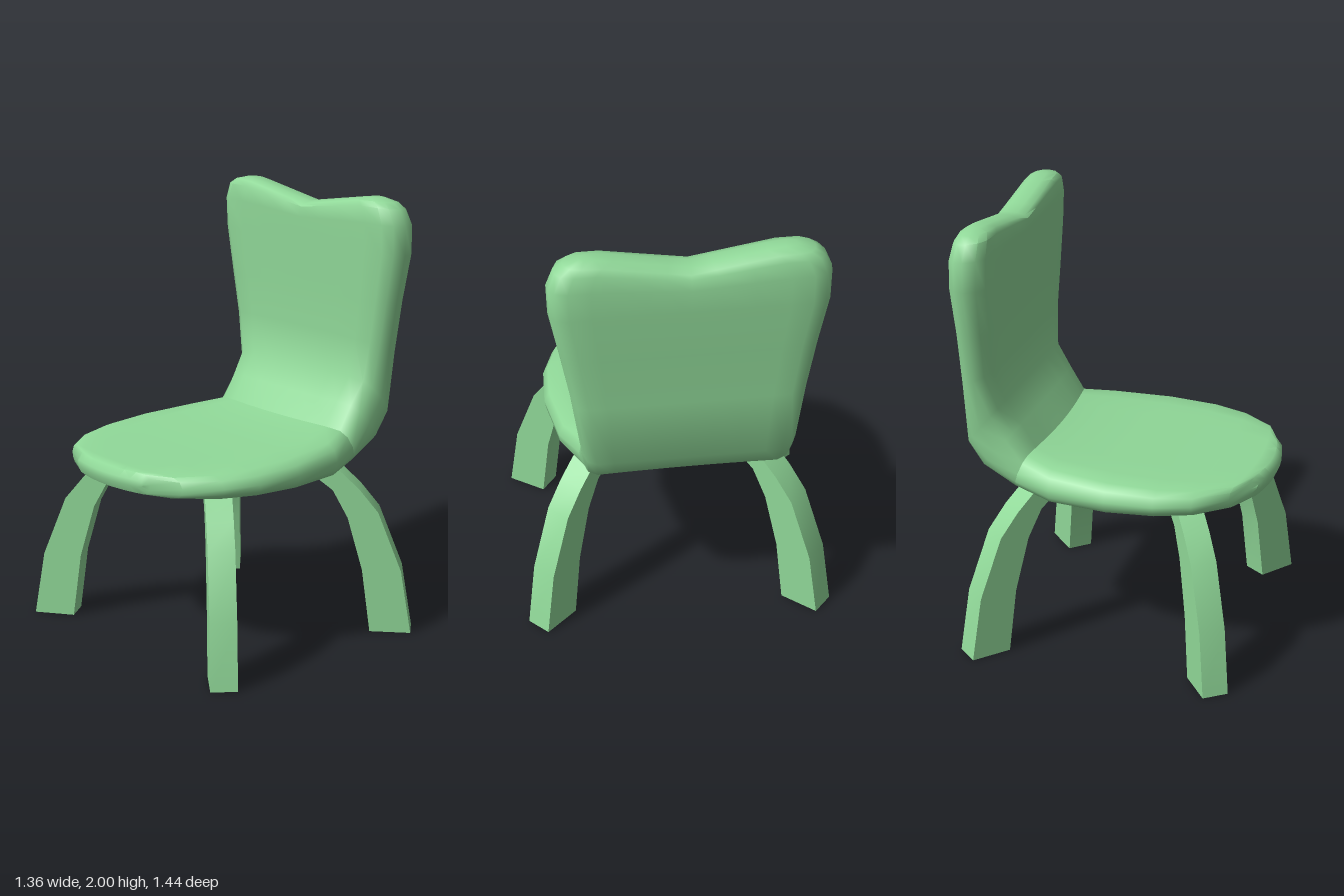
import * as THREE from 'three';
import { toCreasedNormals } from 'three/addons/utils/BufferGeometryUtils.js';

const material = new THREE.MeshStandardMaterial({ color: 0x90d898 });
const MID_Z = -0.022;

// Half of the cushion cross-section: [fraction of half width, depth from sitting face to underside]
const faceHalf = [[1, 0.5], [0.96, 0.2], [0.88, 0.04], [0.7, 0], [0.45, 0], [0.2, 0], [0, 0]];
const underHalf = [[0.99, 0.75], [0.95, 0.92], [0.86, 1], [0.7, 1], [0.45, 1], [0.2, 1], [0, 1]];

// Full closed ring: sitting face from -z to +z, then underside back again
function makeRing() {
  const flip = ([f, d]) => [-f, d];
  const face = [...faceHalf.map(flip), ...faceHalf.slice(0, -1).reverse()];
  const under = [...underHalf, ...underHalf.slice(0, -1).reverse().map(flip)];
  return [...face, ...under];
}

// Loft through sections [faceX, faceY, underX, underY, halfWidth, bow, notch]
function cushion(sections, capStart, capEnd) {
  const ring = makeRing();
  const n = ring.length;
  const positions = [];
  const index = [];
  for (const [fx, fy, ux, uy, w, bow = 0, notch = 0] of sections) {
    for (const [f, d] of ring) {
      const z = f * w;
      const dip = 0.065 * notch * Math.max(0, 1 - Math.abs(z) / 0.39);
      positions.push(fx + (ux - fx) * d + bow * f * f, fy + (uy - fy) * d - dip, z + MID_Z);
    }
  }
  for (let i = 0; i < sections.length - 1; i++) {
    for (let j = 0; j < n; j++) {
      const a = i * n + j, b = i * n + (j + 1) % n;
      index.push(a, b, a + n, b, b + n, a + n);
    }
  }
  // End caps: strips joining the face to the underside
  const cap = (base, reverse) => {
    for (let j = 0; j < n / 2 - 1; j++) {
      const a = base + j, b = a + 1, c = base + n - 1 - j, d = c - 1;
      if (reverse) index.push(a, c, b, b, c, d);
      else index.push(a, b, c, b, d, c);
    }
  };
  if (capStart) cap(0, true);
  if (capEnd) cap((sections.length - 1) * n, false);

  const geometry = new THREE.BufferGeometry();
  geometry.setAttribute('position', new THREE.Float32BufferAttribute(positions, 3));
  geometry.setIndex(index);
  return toCreasedNormals(geometry, 0.8);
}

// Curved leg: arched side profile (x runs inward from the foot), extruded to its width
function legGeometry() {
  const width = 0.12;
  const profile = [
    [0, 0], [0.19, 0], [0.23, 0.3], [0.3, 0.55], [0.37, 0.68], [0.48, 0.765],
    [0.5, 0.8], [0.38, 0.8], [0.33, 0.765], [0.25, 0.69], [0.16, 0.58], [0.05, 0.3],
  ].map(([x, y]) => new THREE.Vector2(x, y));
  const geometry = new THREE.ExtrudeGeometry(new THREE.Shape(profile), { depth: width, bevelEnabled: false });
  geometry.translate(0, 0, -width / 2);
  return toCreasedNormals(geometry, 0.6);
}

export function createModel() {
  const group = new THREE.Group();
  const add = (name, geometry) => {
    const mesh = new THREE.Mesh(geometry, material);
    mesh.name = name;
    group.add(mesh);
    return mesh;
  };

  // Fold where the seat turns up into the backrest
  const fold = [0.35, 0.942, 0.4, 0.785, 0.465, 0.035];

  add('seat', cushion([
    [-0.68, 0.855, -0.68, 0.825, 0.24, 0.04],
    [-0.655, 0.883, -0.665, 0.792, 0.26, 0.045],
    [-0.6, 0.886, -0.6, 0.787, 0.4, 0.05],
    [-0.43, 0.891, -0.43, 0.78, 0.515, 0.02],
    [-0.25, 0.898, -0.25, 0.775, 0.57],
    [-0.03, 0.908, -0.03, 0.768, 0.583],
    [0.24, 0.922, 0.24, 0.762, 0.54],
    fold,
  ], true, false));

  add('backrest', cushion([
    fold,
    [0.43, 1.05, 0.58, 0.87, 0.465, 0.01],
    [0.505, 1.16, 0.655, 0.98, 0.475],
    [0.515, 1.34, 0.66, 1.28, 0.51],
    [0.51, 1.53, 0.665, 1.53, 0.55],
    [0.505, 1.75, 0.675, 1.75, 0.593],
    [0.5, 1.89, 0.672, 1.88, 0.596, 0, 0.4],
    [0.5, 1.965, 0.66, 1.95, 0.565, 0, 0.8],
    [0.515, 1.99, 0.645, 1.98, 0.525, 0, 1],
    [0.55, 2, 0.61, 2, 0.46, 0, 1],
  ], false, true));

  // Legs: foot position and inward direction
  const leg = legGeometry();
  const legs = [
    ['frontLeftLeg', -0.572, 0.68, 0.59, -0.8],
    ['frontRightLeg', -0.572, -0.685, 0.59, 0.8],
    ['backLeftLeg', 0.585, 0.67, -0.68, -0.74],
    ['backRightLeg', 0.612, -0.662, -0.68, 0.74],
  ];
  for (const [name, x, z, dx, dz] of legs) {
    const mesh = add(name, leg);
    mesh.position.set(x, 0, z);
    mesh.rotation.y = Math.atan2(-dz, dx);
  }
  return group;
}
